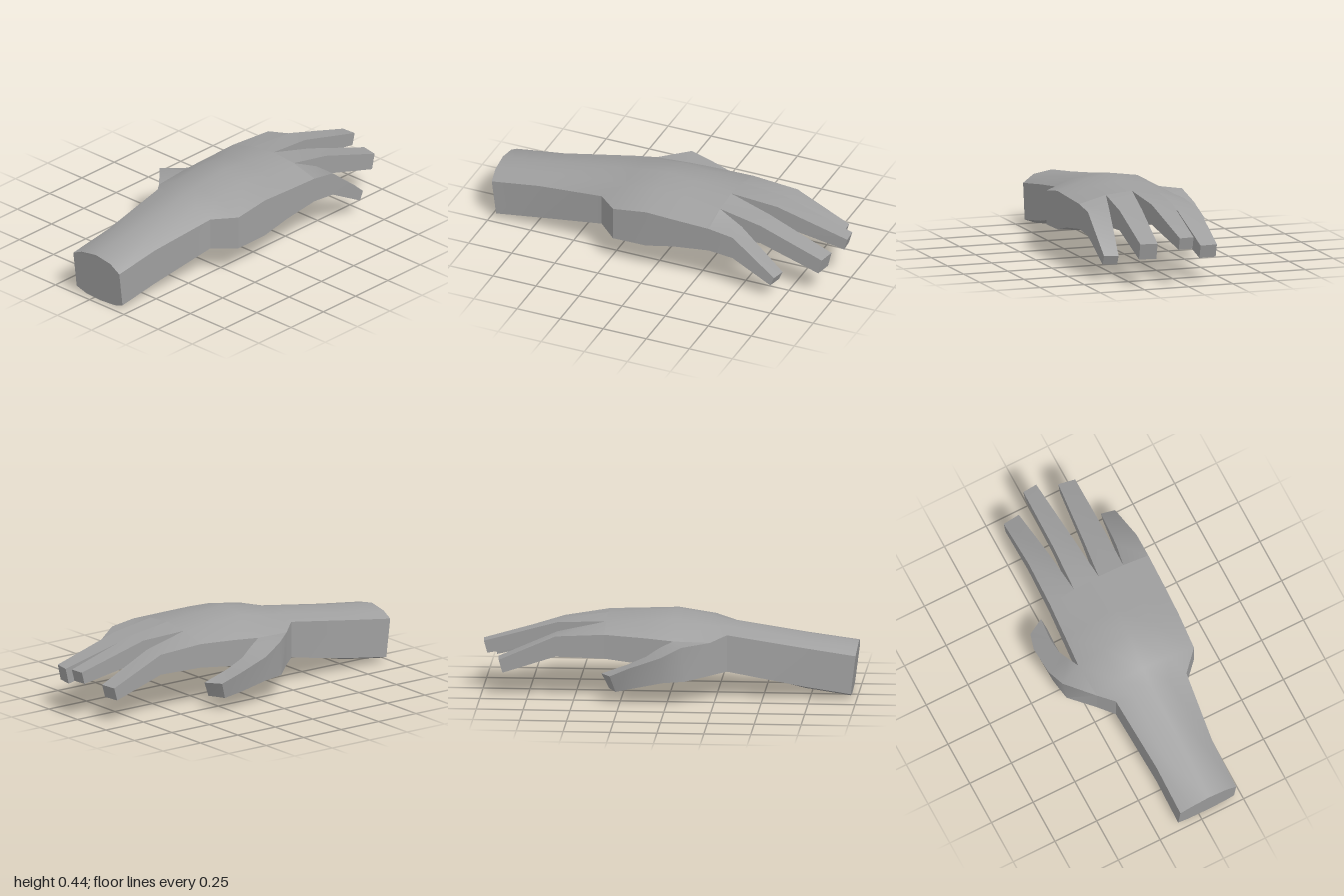
import * as THREE from 'three';
import { toCreasedNormals } from 'three/addons/utils/BufferGeometryUtils.js';

const material = new THREE.MeshStandardMaterial({ color: 0x9f9f9f });

// Skin a list of rings (arrays of [x, y, z], running across the top then back underneath).
function loft(name, rings, { capStart = false, capEnd = false, skip = () => false } = {}) {
  const pos = [];
  const tri = (a, b, c) => pos.push(...a, ...b, ...c);
  const n = rings[0].length;
  for (let i = 0; i < rings.length - 1; i++) {
    for (let j = 0; j < n; j++) {
      if (skip(i, j)) continue;
      const k = (j + 1) % n, p = rings[i], q = rings[i + 1];
      tri(p[j], p[k], q[j]);
      tri(p[k], q[k], q[j]);
    }
  }
  const last = rings[rings.length - 1];
  for (let j = 1; j < n - 1; j++) {
    if (capStart) tri(rings[0][0], rings[0][j + 1], rings[0][j]);
    if (capEnd) tri(last[0], last[j], last[j + 1]);
  }
  const geometry = new THREE.BufferGeometry();
  geometry.setAttribute('position', new THREE.Float32BufferAttribute(pos, 3));
  const mesh = new THREE.Mesh(toCreasedNormals(geometry, 0.6), material);
  mesh.name = name;
  return mesh;
}

// Smooth arch through left, middle and right values.
const arch = ([l, m, r], t) =>
  l * (1 - t) * (1 - 2 * t) + m * 4 * t * (1 - t) + r * t * (2 * t - 1);

// Ten-sided section: five columns on the back of the hand, five underneath.
function section(x, top, bottom, z, zBottom = z) {
  const up = [], down = [];
  for (let i = 0; i < 5; i++) {
    up.push([x[i], top[i], arch(z, i / 4)]);
    down.unshift([x[i], arch(bottom, i / 4), arch(zBottom, i / 4)]);
  }
  return [...up, ...down];
}

// Four-sided finger section; setback moves the lower edge towards the wrist.
const box = (x0, x1, top, bottom, z0, z1 = z0, setback = 0) => [
  [x0, top, z0], [x1, top, z1], [x1, bottom, z1 + setback], [x0, bottom, z0 + setback],
];

export function createModel() {
  const hand = new THREE.Group();
  hand.name = 'hand';

  // Forearm, wrist and palm, ending at the webs between the fingers
  const forearmX = [-0.125, -0.06, 0.045, 0.15, 0.21];
  const rows = [
    section(forearmX, [0.235, 0.265, 0.283, 0.265, 0.222], [0.028, 0, 0.028], [0.994, 1, 0.993], [0.968, 0.965, 0.968]),
    section(forearmX, [0.275, 0.305, 0.322, 0.302, 0.262], [0.065, 0.037, 0.065], [0.72, 0.72, 0.72]),
    section([-0.155, -0.06, 0.045, 0.15, 0.255], [0.345, 0.372, 0.382, 0.36, 0.32], [0.147, 0.137, 0.148], [0.31, 0.34, 0.335]),
    section([-0.225, -0.1, 0.05, 0.2, 0.357], [0.318, 0.385, 0.403, 0.385, 0.327], [0.139, 0.134, 0.143], [0.225, 0.23, 0.225]),
    section([-0.235, -0.085, 0.065, 0.21, 0.367], [0.325, 0.417, 0.438, 0.413, 0.36], [0.175, 0.135, 0.152], [0.03, 0.03, 0.03]),
    section([-0.225, -0.08, 0.072, 0.218, 0.373], [0.338, 0.406, 0.425, 0.405, 0.358], [0.195, 0.185, 0.19], [-0.13, -0.13, -0.13]),
    section([-0.213, -0.067, 0.08, 0.228, 0.378], [0.35, 0.39, 0.407, 0.395, 0.355], [0.22, 0.23, 0.22], [-0.34, -0.34, -0.34]),
  ];
  // The side wall is left open where the thumb grows out, the end where the fingers do
  hand.add(loft('palmAndWrist', rows, {
    capStart: true,
    skip: (i, j) => j === 9 && i === 3,
  }));

  // Fingers continue from neighbouring columns of the last palm section
  const knuckles = rows[rows.length - 1];
  const fingers = [
    ['indexFinger', box(-0.205, -0.083, 0.335, 0.225, -0.6), box(-0.195, -0.1, 0.2, 0.13, -0.903, -0.912, 0.02)],
    ['middleFinger', box(-0.052, 0.064, 0.378, 0.27, -0.6), box(-0.03, 0.05, 0.265, 0.2, -0.994, -1, 0.018)],
    ['ringFinger', box(0.112, 0.237, 0.352, 0.245, -0.58), box(0.16, 0.252, 0.235, 0.15, -0.957, -0.94, 0.02)],
    ['littleFinger', box(0.258, 0.38, 0.335, 0.208, -0.48), box(0.3, 0.376, 0.14, 0.09, -0.735, -0.718, 0.022)],
  ];
  fingers.forEach(([name, joint, tip], i) => {
    const base = [knuckles[i], knuckles[i + 1], knuckles[8 - i], knuckles[9 - i]];
    hand.add(loft(name, [base, joint, tip], { capEnd: true }));
  });

  // Thumb, from the open side wall: top outer, top inner, bottom inner, bottom outer
  const [heel, web] = [rows[3], rows[4]];
  hand.add(loft('thumb', [
    [heel[0], web[0], web[9], heel[9]],
    [[-0.356, 0.318, 0.08], [-0.26, 0.295, -0.04], [-0.245, 0.15, -0.03], [-0.342, 0.131, 0.1]],
    [[-0.382, 0.265, -0.03], [-0.278, 0.25, -0.11], [-0.255, 0.125, -0.1], [-0.36, 0.125, -0.02]],
    [[-0.382, 0.205, -0.2], [-0.278, 0.205, -0.21], [-0.252, 0.1, -0.19], [-0.359, 0.092, -0.18]],
    [[-0.35, 0.155, -0.3], [-0.26, 0.15, -0.35], [-0.242, 0.066, -0.31], [-0.335, 0.068, -0.27]],
  ], { capEnd: true }));

  return hand;
}
